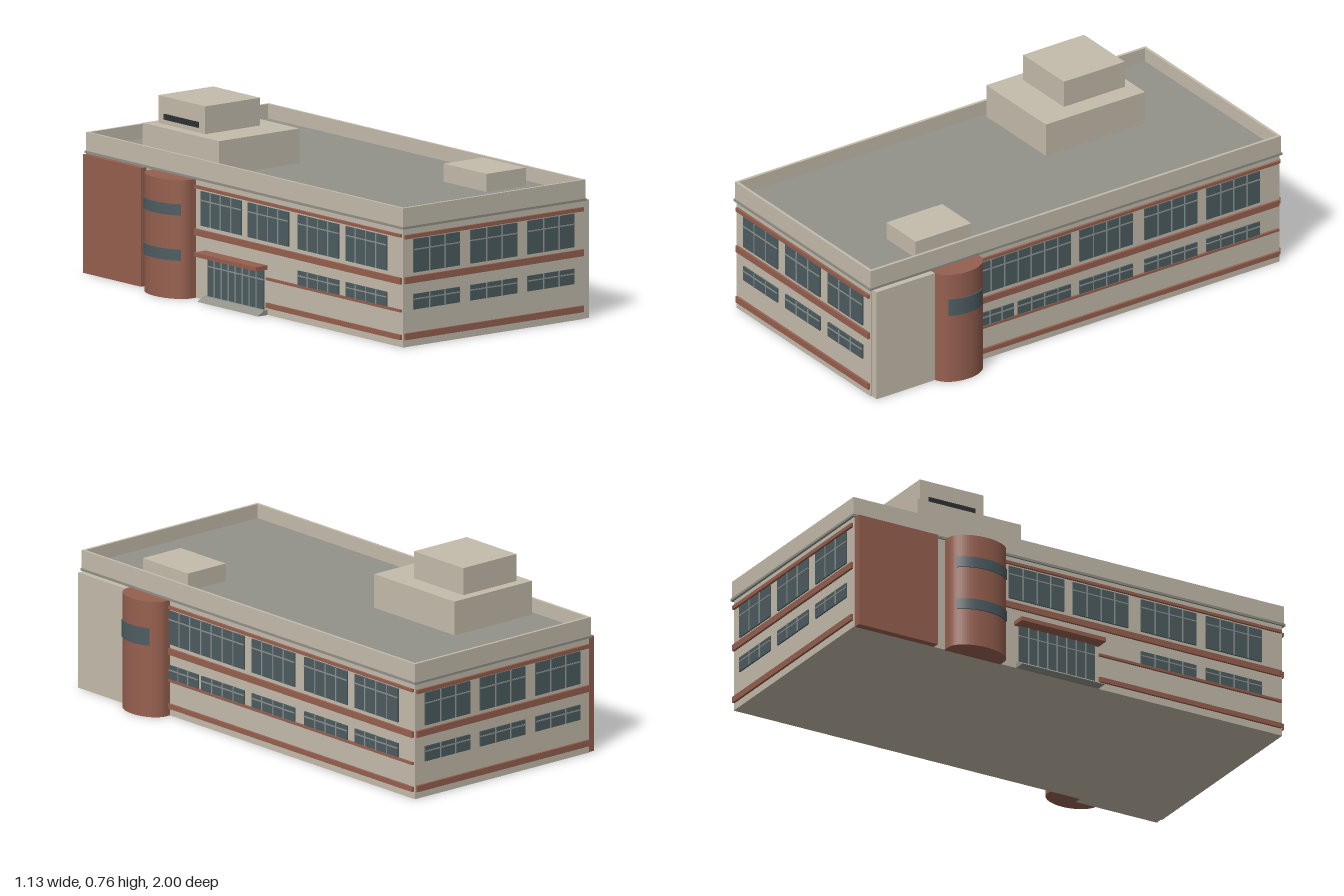
import * as THREE from 'three';

const mat = (name, color, side = THREE.FrontSide) => {
  const m = new THREE.MeshStandardMaterial({ color, side });
  m.name = name;
  return m;
};

export function createModel() {
  const stone = mat('stone', 0xc4bcac);
  const roofGrey = mat('roofGrey', 0x92928a);
  const brick = mat('brick', 0x96604f);
  const glass = mat('glass', 0x4d5c61, THREE.DoubleSide);
  const frame = mat('frame', 0x8b928f);
  const dark = mat('dark', 0x2e3233);

  const building = new THREE.Group();
  building.name = 'building';

  // Box given by its minimum and maximum corners
  const box = (parent, name, material, x0, x1, y0, y1, z0, z1) => {
    const mesh = new THREE.Mesh(new THREE.BoxGeometry(x1 - x0, y1 - y0, z1 - z0), material);
    mesh.position.set((x0 + x1) / 2, (y0 + y1) / 2, (z0 + z1) / 2);
    mesh.name = name;
    parent.add(mesh);
    return mesh;
  };

  const X0 = -0.455, X1 = 0.465, Z = 0.99;

  // Main block, roof deck and cornice
  box(building, 'mainBlock', stone, X0, X1, 0, 0.478, -Z, Z);
  box(building, 'cornice', roofGrey, X0 - 0.008, X1 + 0.008, 0.478, 0.488, -1, 1);
  box(building, 'roofDeck', roofGrey, X0, X1, 0.488, 0.505, -Z, Z);

  // Parapet ring
  const T = 0.012, px0 = X0 - 0.005, px1 = X1 + 0.005, pz = 0.995;
  for (const s of [-1, 1]) {
    const zc = s * (pz - T / 2);
    box(building, 'parapetEnd', stone, px0, px1, 0.488, 0.563, zc - T / 2, zc + T / 2);
  }
  box(building, 'parapetSide', stone, px0, px0 + T, 0.488, 0.563, -pz + T, pz - T);
  box(building, 'parapetSide', stone, px1 - T, px1, 0.488, 0.563, -pz + T, pz - T);

  // Rooftop plant rooms
  box(building, 'penthouseBase', stone, -0.427, -0.018, 0.505, 0.645, -0.68, -0.2);
  box(building, 'penthouseTop', stone, -0.38, -0.1, 0.645, 0.757, -0.64, -0.345);
  box(building, 'penthouseVent', dark, -0.385, -0.38, 0.665, 0.688, -0.6, -0.385);
  box(building, 'roofHatch', stone, 0.19, 0.39, 0.505, 0.578, 0.45, 0.72);

  // Solid corner panels
  box(building, 'stonePanel', stone, X1, 0.498, 0, 0.478, 0.61, 0.985);
  box(building, 'brickPanel', brick, -0.485, X0, 0, 0.478, -0.985, -0.62);

  // A facade is a group whose +z points out of the wall
  const facade = (name, x, z, rotation) => {
    const g = new THREE.Group();
    g.name = name;
    g.position.set(x, 0, z);
    g.rotation.y = rotation;
    building.add(g);
    return g;
  };

  // Glazing with vertical bars and one transom
  const windowUnit = (g, x0, x1, y0, y1, columns, transom) => {
    box(g, 'windowGlass', glass, x0, x1, y0, y1, -0.002, 0.006);
    for (let i = 1; i < columns; i++) {
      const x = x0 + (x1 - x0) * i / columns;
      box(g, 'mullion', frame, x - 0.0025, x + 0.0025, y0, y1, 0, 0.009);
    }
    if (transom) box(g, 'transom', frame, x0, x1, transom - 0.0025, transom + 0.0025, 0, 0.0085);
  };
  const band = (g, x0, x1, y0, y1) => box(g, 'brickBand', brick, x0, x1, y0, y1, -0.002, 0.01);

  // Front and back walls
  for (const s of [1, -1]) {
    const g = facade(s > 0 ? 'frontFacade' : 'backFacade', 0.005, s * Z, s > 0 ? 0 : Math.PI);
    for (const c of [-0.291, 0, 0.291]) {
      windowUnit(g, c - 0.118, c + 0.118, 0.297, 0.432, 3, 0.39);
      windowUnit(g, c - 0.118, c + 0.118, 0.148, 0.21, 3, 0.19);
    }
    for (const [y0, y1] of [[0.437, 0.453], [0.256, 0.283], [0.03, 0.056]]) band(g, -0.455, 0.455, y0, y1);
  }

  // Right wall (+x): local x runs towards -z
  const right = facade('leftSideFacade', X1, 0, Math.PI / 2);
  const bays = [[0.02, 0.276], [0.335, 0.59], [0.635, 0.893]];
  windowUnit(right, -0.475, -0.024, 0.297, 0.436, 7, 0.4);
  windowUnit(right, -0.475, -0.3, 0.152, 0.21, 3, 0.19);
  windowUnit(right, -0.28, -0.024, 0.152, 0.21, 4, 0.19);
  const sideBands = [[0.444, 0.456], [0.254, 0.28], [0.142, 0.152], [0.03, 0.05]];
  for (const [y0, y1] of sideBands) band(right, -0.475, 0.983, y0, y1);

  // Opposite wall (-x): local x runs towards +z
  const left = facade('rightSideFacade', X0, 0, -Math.PI / 2);
  for (const g of [right, left]) {
    for (const [a, b] of bays) {
      windowUnit(g, a, b, 0.297, 0.436, 4, 0.4);
      if (g === right || a > 0.1) windowUnit(g, a, b, 0.152, 0.21, 4, 0.19);
    }
  }
  windowUnit(left, -0.276, -0.02, 0.297, 0.436, 4, 0.4);
  sideBands.forEach(([y0, y1], i) => band(left, i < 2 ? -0.31 : 0.14, 0.983, y0, y1));

  // Entrance: glazed doors, canopy and steps
  windowUnit(left, -0.23, 0.12, 0.02, 0.183, 8, 0.14);
  box(left, 'canopy', brick, -0.25, 0.14, 0.183, 0.2, 0, 0.06);
  const stepShape = new THREE.Shape();
  [[0, 0], [0.05, 0], [0.028, 0.014], [0.02, 0.02], [0, 0.02]].forEach(([x, y], i) =>
    i ? stepShape.lineTo(x, y) : stepShape.moveTo(x, y));
  const steps = new THREE.Mesh(
    new THREE.ExtrudeGeometry(stepShape, { depth: 0.38, bevelEnabled: false }), roofGrey);
  steps.name = 'entranceSteps';
  steps.rotation.y = -Math.PI / 2;
  steps.position.x = 0.14;
  left.add(steps);

  // Round-fronted stair towers with curved windows
  const tower = (name, side, z, half, spread, windows) => {
    const g = new THREE.Group();
    g.name = name;
    g.position.set(side > 0 ? 0.465 : -0.46, 0, z);
    if (side < 0) g.rotation.y = Math.PI;
    building.add(g);
    const neck = 0.02, rx = 0.079;
    const s = new THREE.Shape();
    s.moveTo(-0.01, -half);
    s.lineTo(neck, -half);
    s.absellipse(neck, 0, rx, half, -Math.PI / 2, Math.PI / 2, false, 0);
    s.lineTo(-0.01, half);
    const geo = new THREE.ExtrudeGeometry(s, { depth: 0.479, bevelEnabled: false, curveSegments: 24 });
    geo.rotateX(-Math.PI / 2);
    const shaft = new THREE.Mesh(geo, brick);
    shaft.name = 'towerShaft';
    g.add(shaft);
    for (const [y0, y1] of windows) {
      const pane = new THREE.Mesh(
        new THREE.CylinderGeometry(1, 1, y1 - y0, 20, 1, false, Math.PI / 2 - spread, spread * 2), glass);
      pane.scale.set(rx + 0.005, 1, half + 0.005);
      pane.position.set(neck, (y0 + y1) / 2, 0);
      pane.name = 'towerWindow';
      g.add(pane);
    }
  };
  tower('leftTower', 1, 0.588, 0.115, 0.76, [[0.298, 0.37]]);
  tower('rightTower', -1, -0.44, 0.13, 1.05, [[0.338, 0.383], [0.155, 0.2]]);

  return building;
}
